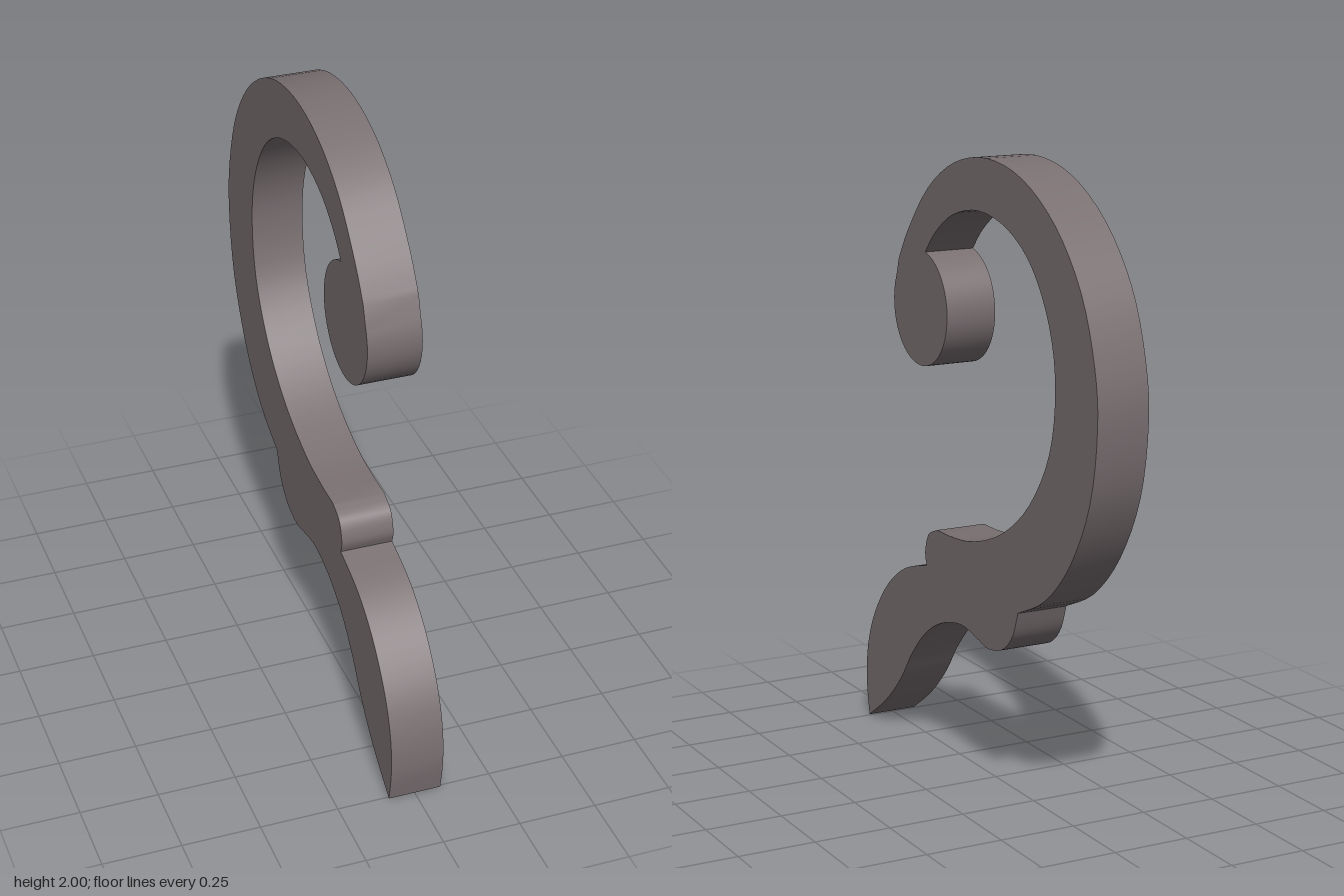
import * as THREE from 'three';
import { toCreasedNormals } from 'three/addons/utils/BufferGeometryUtils.js';

const THICKNESS = 0.17;

// Smooth curve through a few [z, y] points
function spline(points, divisions) {
  return new THREE.SplineCurve(points.map(([z, y]) => new THREE.Vector2(z, y))).getPoints(divisions);
}

function arc(cz, cy, r, start, end, divisions) {
  return new THREE.EllipseCurve(cz, cy, r, r, start, end, end < start).getPoints(divisions);
}

export function createModel() {
  const group = new THREE.Group();
  group.name = 'scrollBracket';

  // Profile in the z-y plane, one smooth run per side; runs meet in sharp corners
  const outline = [
    // front of the leaf-shaped foot
    ...spline([[0.757, 0], [0.775, 0.12], [0.762, 0.25], [0.705, 0.38], [0.6, 0.505],
      [0.47, 0.59], [0.315, 0.637]], 24),
    // small rounded bump
    ...spline([[0.315, 0.637], [0.325, 0.68], [0.301, 0.743], [0.24, 0.772]], 12),
    // inside of the hook
    ...spline([[0.16, 0.772], [0, 0.79], [-0.2, 0.863], [-0.37, 0.99], [-0.49, 1.17], [-0.524, 1.37],
      [-0.487, 1.55], [-0.38, 1.71], [-0.23, 1.803], [-0.05, 1.835], [0.12, 1.803],
      [0.24, 1.733], [0.315, 1.657]], 48),
    // round scroll end
    ...arc(0.35, 1.477, 0.187, 1.77, Math.PI * 2 + 0.45, 36),
    // outside of the hook
    ...spline([[0.5, 1.616], [0.43, 1.72], [0.29, 1.867], [0.11, 1.965], [-0.1, 2], [-0.32, 1.963],
      [-0.52, 1.85], [-0.67, 1.68], [-0.75, 1.48], [-0.77, 1.3], [-0.73, 1.07],
      [-0.62, 0.865], [-0.47, 0.717], [-0.3, 0.635]], 52),
    // rear bulge flowing into the back of the foot
    ...spline([[-0.3, 0.635], [-0.265, 0.55], [-0.2, 0.492], [-0.11, 0.47], [-0.04, 0.482], [0.07, 0.5],
      [0.2, 0.473], [0.32, 0.41], [0.425, 0.31], [0.51, 0.2], [0.62, 0.095], [0.757, 0]], 48),
  ];

  // Drop repeated points where runs meet
  const clean = outline.filter((p, i) =>
    p.distanceTo(outline[(i + 1) % outline.length]) > 1e-4);

  // Flat slab of even thickness, turned so the profile lies in the z-y plane
  const slab = new THREE.ExtrudeGeometry(new THREE.Shape(clean), {
    depth: THICKNESS, bevelEnabled: false,
  });
  slab.translate(0, 0, -THICKNESS / 2);
  slab.rotateY(-Math.PI / 2);

  const bracket = new THREE.Mesh(
    toCreasedNormals(slab, Math.PI / 6),
    new THREE.MeshStandardMaterial({ color: 0x7a7072 }),
  );
  bracket.name = 'bracket';
  group.add(bracket);
  return group;
}
